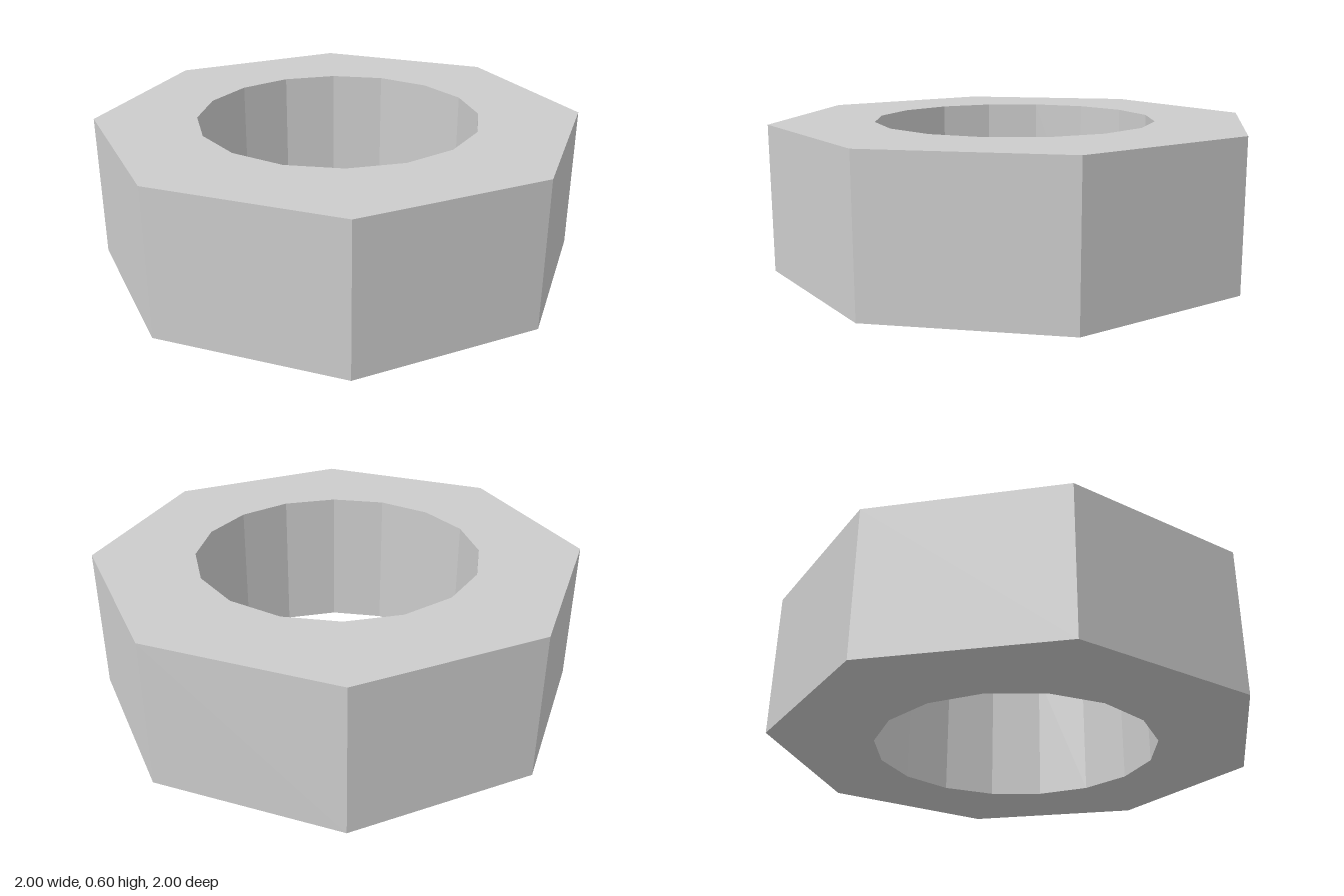
import * as THREE from 'three';

const HEIGHT = 0.6;

// Corners of a regular polygon, the first one on +x
function polygon(sides, radius) {
  return Array.from({ length: sides }, (_, i) => {
    const a = (i / sides) * Math.PI * 2;
    return new THREE.Vector2(radius * Math.cos(a), radius * Math.sin(a));
  });
}

export function createModel() {
  const group = new THREE.Group();
  group.name = 'octagonalNut';

  // Eight-sided body with a sixteen-sided through hole
  const outline = new THREE.Shape(polygon(8, 1));
  outline.holes.push(new THREE.Path(polygon(16, 0.58)));

  const geometry = new THREE.ExtrudeGeometry(outline, { depth: HEIGHT, bevelEnabled: false });
  geometry.rotateX(-Math.PI / 2); // lay flat, standing on y = 0

  const body = new THREE.Mesh(
    geometry,
    new THREE.MeshStandardMaterial({ color: 0xcccccc, flatShading: true })
  );
  body.name = 'nutBody';
  group.add(body);
  return group;
}
